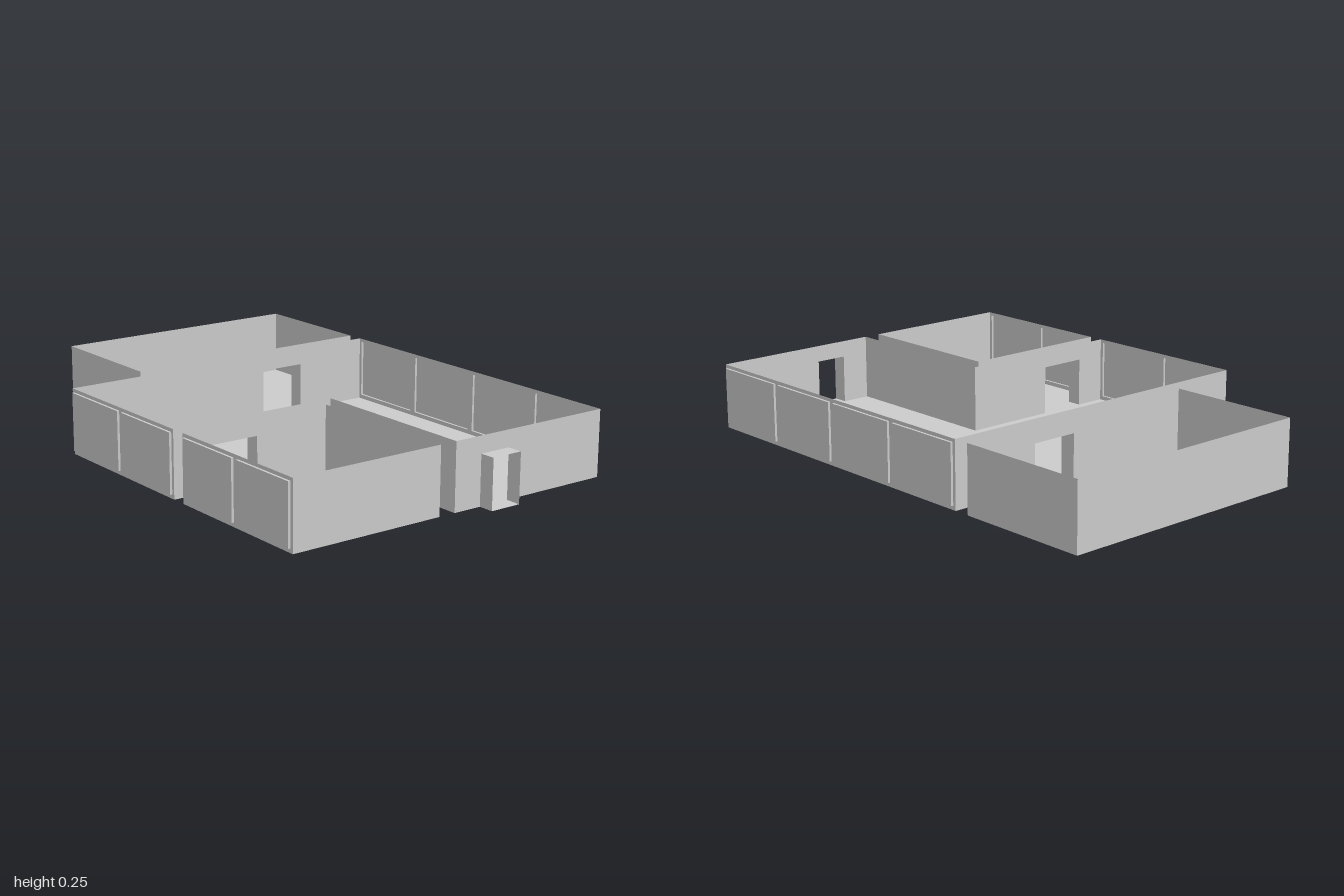
import * as THREE from 'three';

const H = 0.252, DOOR_H = 0.188;        // wall and doorway heights
const SILL = 0.016, HEAD = 0.239;       // window bottom and top
const FRAME = 0.012, BAY = 0.009;       // window margin and outward depth

const material = new THREE.MeshStandardMaterial({ color: 0xcccccc, side: THREE.DoubleSide, flatShading: true });

function add(parent, name, geometry) {
  const mesh = new THREE.Mesh(geometry, material);
  mesh.name = name;
  parent.add(mesh);
  return mesh;
}

// Box without the listed faces (0..5 = +x, -x, +y, -y, +z, -z)
function openBox(w, h, d, skip) {
  const g = new THREE.BoxGeometry(w, h, d);
  const index = Array.from(g.index.array).filter((_, i) => !skip.includes(Math.floor(i / 6)));
  g.setIndex(index);
  g.clearGroups();
  return g;
}

// Thin wall from a to b, with an optional doorway [x0, x1] and a row of window openings
function buildWall(room, a, b, door, windows = 0) {
  const dx = b[0] - a[0], dz = b[1] - a[1], length = Math.hypot(dx, dz);
  const points = [[0, 0]];
  if (door) {
    const [s, e] = door.map(x => Math.abs(x - a[0])).sort((p, q) => p - q);
    points.push([s, 0], [s, DOOR_H], [e, DOOR_H], [e, 0]);
  }
  points.push([length, 0], [length, H], [0, H]);
  const shape = new THREE.Shape(points.map(p => new THREE.Vector2(...p)));

  const step = length / (windows || 1);
  for (let i = 0; i < windows; i++) {
    const s = i * step + FRAME, e = (i + 1) * step - FRAME;
    shape.holes.push(new THREE.Path([[s, SILL], [s, HEAD], [e, HEAD], [e, SILL]].map(p => new THREE.Vector2(...p))));
    // Shallow window tray set outward, open to the room
    const side = Math.sign(a[0]);
    const tray = add(room, 'window', openBox(BAY, HEAD - SILL, e - s, [side > 0 ? 1 : 0]));
    tray.position.set(a[0] + side * BAY / 2, (SILL + HEAD) / 2, a[1] + Math.sign(dz) * (s + e) / 2);
  }
  const wall = add(room, 'wall', new THREE.ShapeGeometry(shape));
  wall.position.set(a[0], 0, a[1]);
  wall.rotation.y = Math.atan2(-dz, dx);
}

// Room with a floor and a wall along each side of its outline
function buildRoom(name, corners, doors = {}, windows = {}) {
  const room = new THREE.Group();
  room.name = name;
  const outline = new THREE.Shape(corners.map(([x, z]) => new THREE.Vector2(x, -z)));
  add(room, 'floor', new THREE.ShapeGeometry(outline).rotateX(-Math.PI / 2));
  corners.forEach((a, i) => buildWall(room, a, corners[(i + 1) % corners.length], doors[i], windows[i]));
  return room;
}

// Doorway tunnel, open at both ends
function buildPassage(parent, name, [x0, x1], z0, z1) {
  const tunnel = add(parent, name, openBox(x1 - x0, DOOR_H, z1 - z0, [4, 5]));
  tunnel.position.set((x0 + x1) / 2, DOOR_H / 2, (z0 + z1) / 2);
}

export function createModel() {
  const model = new THREE.Group();
  model.name = 'floorPlan';
  const X = 0.677, FRONT = 0.94;
  const backDoor = [0.188, 0.373], sideDoor = [-0.556, -0.368], entry = [0.114, 0.239];

  // Rooms: doors and windows are keyed by wall number
  model.add(buildRoom('backRoom',
    [[-0.344, -1], [X, -1], [X, -0.478], [-0.344, -0.478]], { 2: backDoor }));
  model.add(buildRoom('mainRoom',
    [[-X, -0.416], [X, -0.416], [X, FRONT], [0, FRONT], [0, 0.26], [-X, 0.26]],
    { 0: backDoor, 2: entry, 4: sideDoor }, { 1: 4, 5: 2 }));
  model.add(buildRoom('smallRoom',
    [[-X, 0.318], [-0.067, 0.318], [-0.067, FRONT], [-X, FRONT]], { 0: sideDoor }, { 3: 2 }));

  // Passages between rooms and the entrance
  buildPassage(model, 'backPassage', backDoor, -0.478, -0.416);
  buildPassage(model, 'sidePassage', sideDoor, 0.26, 0.318);
  buildPassage(model, 'entrance', entry, FRONT, 1);
  return model;
}
